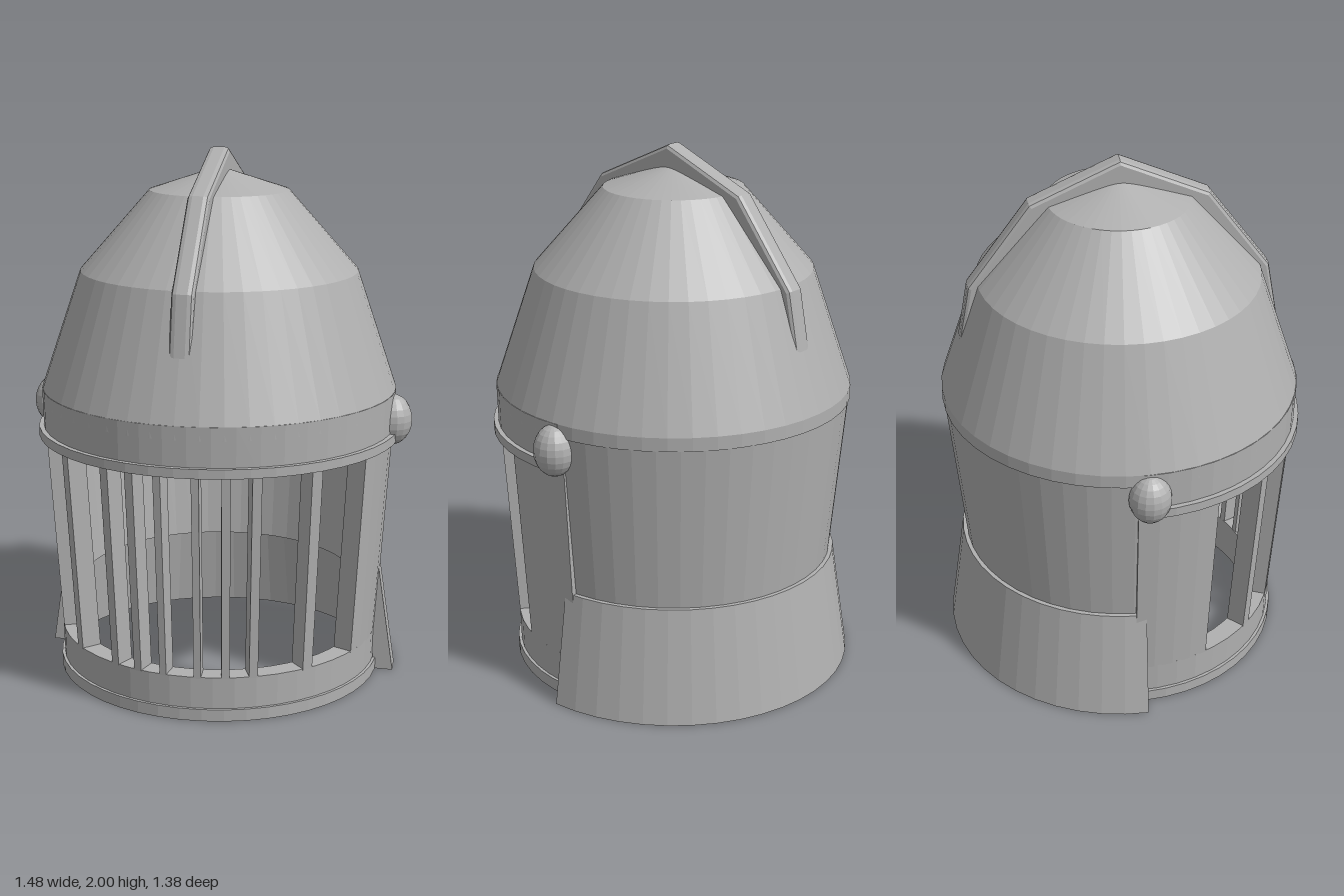
import * as THREE from 'three';
import { mergeGeometries } from 'three/addons/utils/BufferGeometryUtils.js';

const rad = THREE.MathUtils.degToRad;
const steel = new THREE.MeshStandardMaterial({ color: 0xb0b0b0 });
steel.name = 'steel grey';
steel.flatShading = true;
steel.side = THREE.DoubleSide;

// Closed wall swept around y between two angles (0 = front), with end caps.
// The wall is given by its outer [radius, y] points, bottom to top, and a thickness.
function wall(outer, thickness, from, to) {
  const pts = outer.map(([r, y]) => new THREE.Vector2(r, y));
  for (const [r, y] of [...outer].reverse()) pts.push(new THREE.Vector2(r - thickness, y));
  const segments = Math.max(1, Math.round((to - from) / 7.5));
  const parts = [
    new THREE.LatheGeometry([...pts, pts[0].clone()], segments, rad(from), rad(to - from)),
  ];
  if (to - from < 360) {
    for (const a of [from, to]) {
      parts.push(new THREE.ShapeGeometry(new THREE.Shape(pts)).rotateY(rad(a) - Math.PI / 2));
    }
  }
  return mergeGeometries(parts);
}

export function createModel() {
  const group = new THREE.Group();
  const add = (name, geometry, parent = group) => {
    const mesh = new THREE.Mesh(geometry, steel);
    mesh.name = name;
    parent.add(mesh);
    return mesh;
  };

  // Hollow skull dome in three sloping bands
  const dome = [
    [0.67, 1.06], [0.67, 1.11], [0.52, 1.55], [0.26, 1.845], [0, 1.93],
    [0, 1.86], [0.22, 1.79], [0.46, 1.51], [0.6, 1.09], [0.6, 1.06], [0.67, 1.06],
  ];
  add('dome', new THREE.LatheGeometry(dome.map((p) => new THREE.Vector2(...p)), 48));

  // Back shell and flared neck guard
  add('backShell', wall([[0.6, 0.33], [0.667, 1.08]], 0.07, 72, 288));
  add('neckGuard', wall([[0.69, 0], [0.625, 0.435]], 0.07, 90, 270));

  // Visor: brow, lower band, rims, side panels and bars
  const visor = new THREE.Group();
  visor.name = 'visor';
  group.add(visor);
  add('brow', wall([[0.668, 0.93], [0.672, 1.11]], 0.075, -92, 92), visor);
  add('browRim', wall([[0.687, 0.93], [0.687, 0.965]], 0.06, -90, 90), visor);
  add('lowerBand', wall([[0.61, 0], [0.613, 0.165]], 0.075, -93, 93), visor);
  add('lowerRim', wall([[0.622, 0], [0.622, 0.045]], 0.06, -90, 90), visor);
  const slope = [[0.613, 0.16], [0.662, 0.94]];
  const bars = [[6, 1.2], [15.5, 1.4], [25, 1.5], [45, 1.9]]; // angle, half width
  for (const side of [1, -1]) {
    const panel = [66.5 * side, 93.5 * side].sort((a, b) => a - b);
    add('sidePanel', wall(slope, 0.075, ...panel), visor);
    for (const [a, w] of bars) {
      add('visorBar', wall(slope, 0.075, a * side - w, a * side + w), visor);
    }
    // Hinge knob
    const knob = add('hingeKnob', new THREE.SphereGeometry(1, 16, 12));
    knob.scale.set(0.075, 0.096, 0.077);
    knob.position.set(0.663 * side, 1.006, 0);
  }

  // Crest ridge from front to back over the dome
  const half = [[0.595, 1.33], [0.555, 1.545], [0.325, 1.855]];
  const inner = [[0.24, 1.8], [0.48, 1.52], [0.565, 1.33]];
  const outline = [
    ...half, [0, 2], ...[...half].reverse().map(([z, y]) => [-z, y]),
    ...[...inner].reverse().map(([z, y]) => [-z, y]), [0, 1.88], ...inner,
  ];
  const crest = new THREE.ExtrudeGeometry(
    new THREE.Shape(outline.map((p) => new THREE.Vector2(...p))),
    { depth: 0.04, bevelEnabled: true, bevelThickness: 0.02, bevelSize: 0.014, bevelOffset: -0.014, bevelSegments: 2 },
  );
  add('crest', crest.translate(0, 0, -0.02).rotateY(-Math.PI / 2));

  return group;
}
